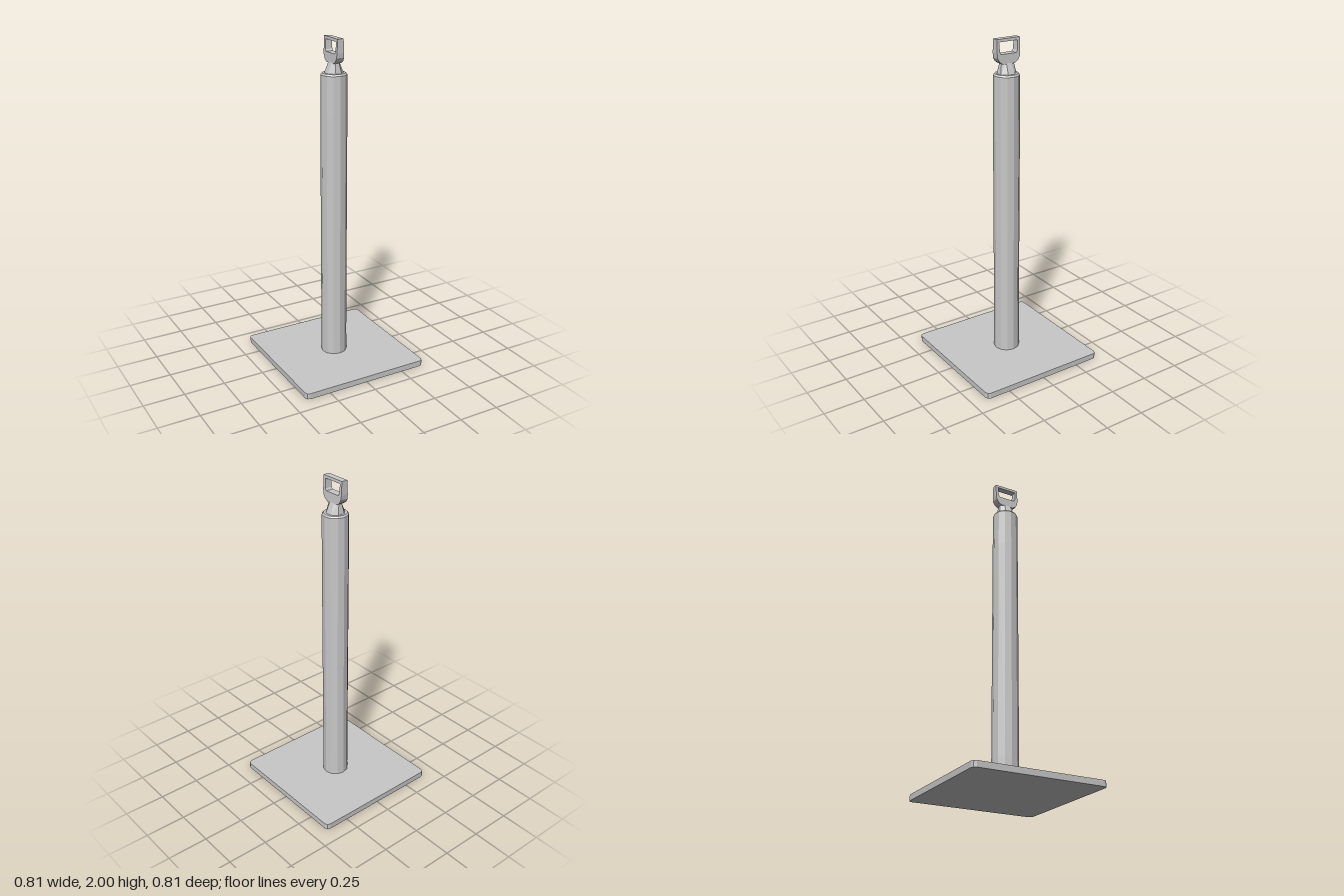
import * as THREE from 'three';

export function createModel() {
  const model = new THREE.Group();
  const grey = new THREE.MeshStandardMaterial({ color: 0xc8c8c8, flatShading: true });
  grey.name = 'light grey';

  const add = (name, geometry) => {
    const mesh = new THREE.Mesh(geometry, grey);
    mesh.name = name;
    model.add(mesh);
    return mesh;
  };
  const shapeOf = (points) => new THREE.Shape(points.map(([x, y]) => new THREE.Vector2(x, y)));

  // Square floor plate with clipped corners
  const h = 0.405, c = 0.022, m = 0.007;
  const corners = [];
  for (let i = 0; i < 4; i++) {
    const a = i * Math.PI / 2;
    for (const [x, y] of [[h, h - c], [h - m, h - m], [h - c, h]]) {
      corners.push([x * Math.cos(a) - y * Math.sin(a), x * Math.sin(a) + y * Math.cos(a)]);
    }
  }
  const plate = new THREE.ExtrudeGeometry(shapeOf(corners), { depth: 0.036, bevelEnabled: false });
  plate.rotateX(-Math.PI / 2);
  add('basePlate', plate);

  // Faceted post with a narrow chamfer at the top
  const profile = [[0.079, 0.03], [0.078, 0.2], [0.078, 1.56], [0.077, 1.79], [0.069, 1.8], [0, 1.8]];
  add('post', new THREE.LatheGeometry(profile.map(([r, y]) => new THREE.Vector2(r, y)), 12));

  // Tapered neck, flattened towards the loop
  const neck = new THREE.CylinderGeometry(1, 1, 0.075, 8, 1);
  neck.rotateY(Math.PI / 8);
  neck.translate(0, 1.8325, 0);
  const np = neck.attributes.position;
  for (let i = 0; i < np.count; i++) {
    const top = np.getY(i) > 1.83;
    np.setX(i, np.getX(i) * (top ? 0.024 : 0.057));
    np.setZ(i, np.getZ(i) * (top ? 0.043 : 0.058));
  }
  add('neck', neck);

  // Strap loop: a D-shaped frame lying in the side plane, thinner at the top
  const outline = shapeOf([
    [-0.04, 1.857], [0.04, 1.857], [0.062, 1.872], [0.074, 1.893], [0.077, 1.92],
    [0.077, 2], [-0.077, 2], [-0.077, 1.92], [-0.074, 1.893], [-0.062, 1.872],
  ]);
  outline.holes.push(new THREE.Path([
    [-0.05, 1.914], [-0.058, 1.925], [-0.062, 1.983], [0.062, 1.983], [0.058, 1.925], [0.05, 1.914],
  ].map(([x, y]) => new THREE.Vector2(x, y))));
  const loop = new THREE.ExtrudeGeometry(outline, { depth: 1, bevelEnabled: false });
  loop.translate(0, 0, -0.5);
  loop.rotateY(-Math.PI / 2);
  const lp = loop.attributes.position;
  for (let i = 0; i < lp.count; i++) {
    const t = (2 - lp.getY(i)) / 0.143;
    lp.setX(i, lp.getX(i) * (0.038 + 0.014 * t));
  }
  loop.computeVertexNormals();
  add('strapLoop', loop);

  return model;
}
